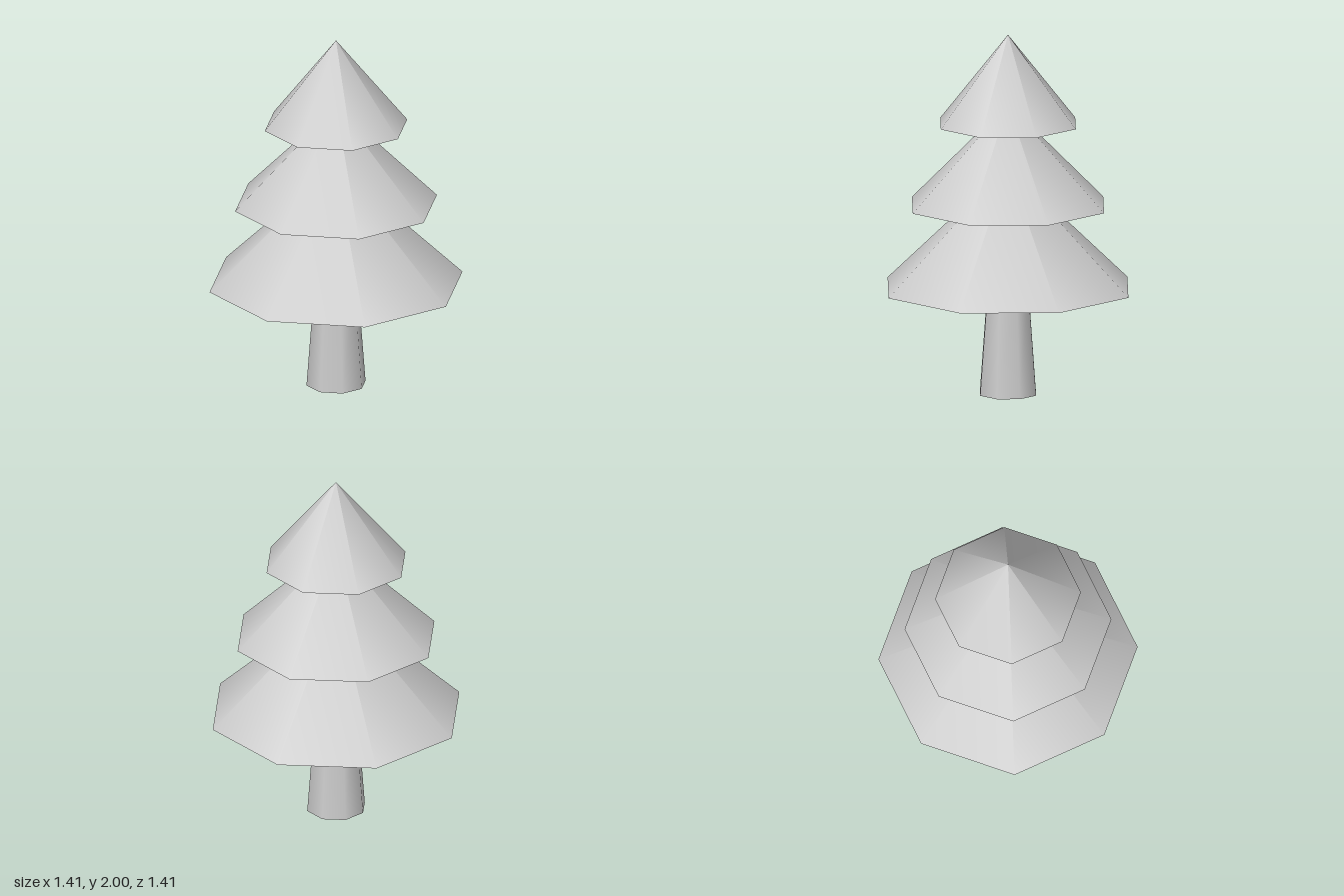
import * as THREE from 'three';

const SIDES = 8;

export function createModel() {
  const tree = new THREE.Group();
  tree.name = 'pineTree';

  const grey = new THREE.MeshStandardMaterial({ color: 0xcccccc });
  grey.name = 'lightGrey';

  function addPart(name, geometry, baseY, height) {
    const mesh = new THREE.Mesh(geometry, grey);
    mesh.name = name;
    mesh.position.y = baseY + height / 2;
    tree.add(mesh);
  }

  // Tapered trunk, its top meeting the lowest tier
  addPart('trunk', new THREE.CylinderGeometry(0.12, 0.165, 0.59, SIDES), 0, 0.59);

  // Overlapping cones of foliage, closed underneath
  const tiers = [
    { name: 'lowerFoliage', radius: 0.707, baseY: 0.59, height: 0.68 },
    { name: 'middleFoliage', radius: 0.564, baseY: 1.05, height: 0.566 },
    { name: 'topFoliage', radius: 0.398, baseY: 1.505, height: 0.495 },
  ];
  for (const { name, radius, baseY, height } of tiers) {
    addPart(name, new THREE.ConeGeometry(radius, height, SIDES), baseY, height);
  }

  return tree;
}
